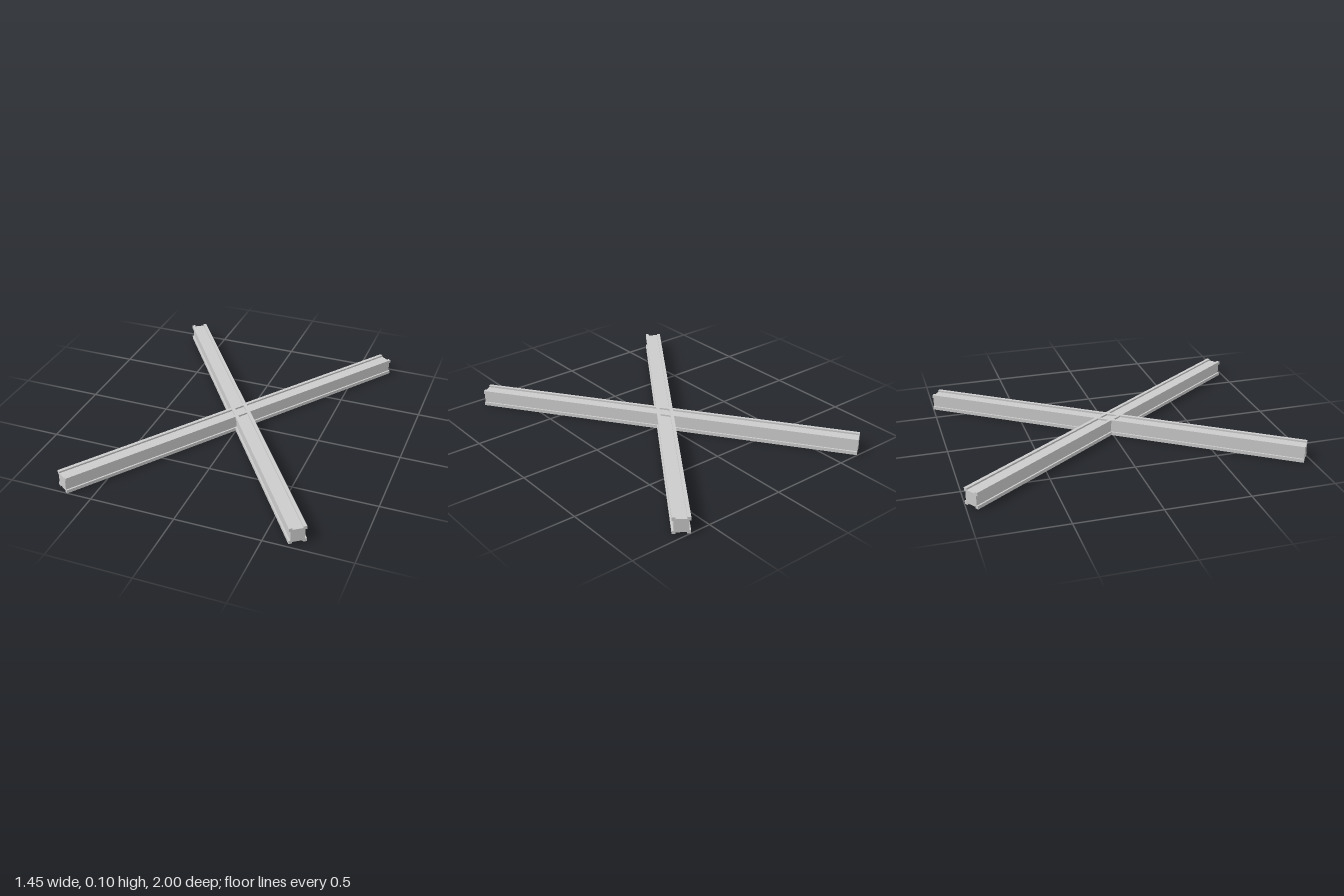
import * as THREE from 'three';

const SIZE = 0.1;   // outer width and height of a beam
const RAIL = 0.02;  // side of each square corner rail
const INSET = 0.01; // depth of the shallow channel in every face

// Square section with a raised rail on each corner
function beamSection() {
  const a = SIZE / 2, b = a - RAIL, c = a - INSET;
  const quarter = [[c, -b], [a, -b], [a, -a], [b, -a], [b, -c]];
  const points = [];
  for (let i = 0; i < 4; i++) {
    const turn = -i * Math.PI / 2;
    quarter.forEach(([x, y]) =>
      points.push(new THREE.Vector2(x, y).rotateAround(new THREE.Vector2(), turn)));
  }
  return new THREE.Shape(points);
}

// Beam lying along z, turned about the vertical axis
function makeBeam(name, length, degrees, x, z, material) {
  const geometry = new THREE.ExtrudeGeometry(beamSection(), { depth: length, bevelEnabled: false });
  geometry.translate(0, SIZE / 2, -length / 2);
  const beam = new THREE.Mesh(geometry, material);
  beam.name = name;
  beam.rotation.y = THREE.MathUtils.degToRad(degrees);
  beam.position.set(x, 0, z);
  return beam;
}

export function createModel() {
  const group = new THREE.Group();
  group.name = 'crossedBeams';
  const material = new THREE.MeshStandardMaterial({ color: 0xcccccc, flatShading: true });

  // Two beams crossing at the same height
  group.add(
    makeBeam('firstBeam', 2.35, 35.3, 0, -0.01, material),
    makeBeam('secondBeam', 2.37, -34.8, -0.01, 0, material)
  );
  return group;
}
